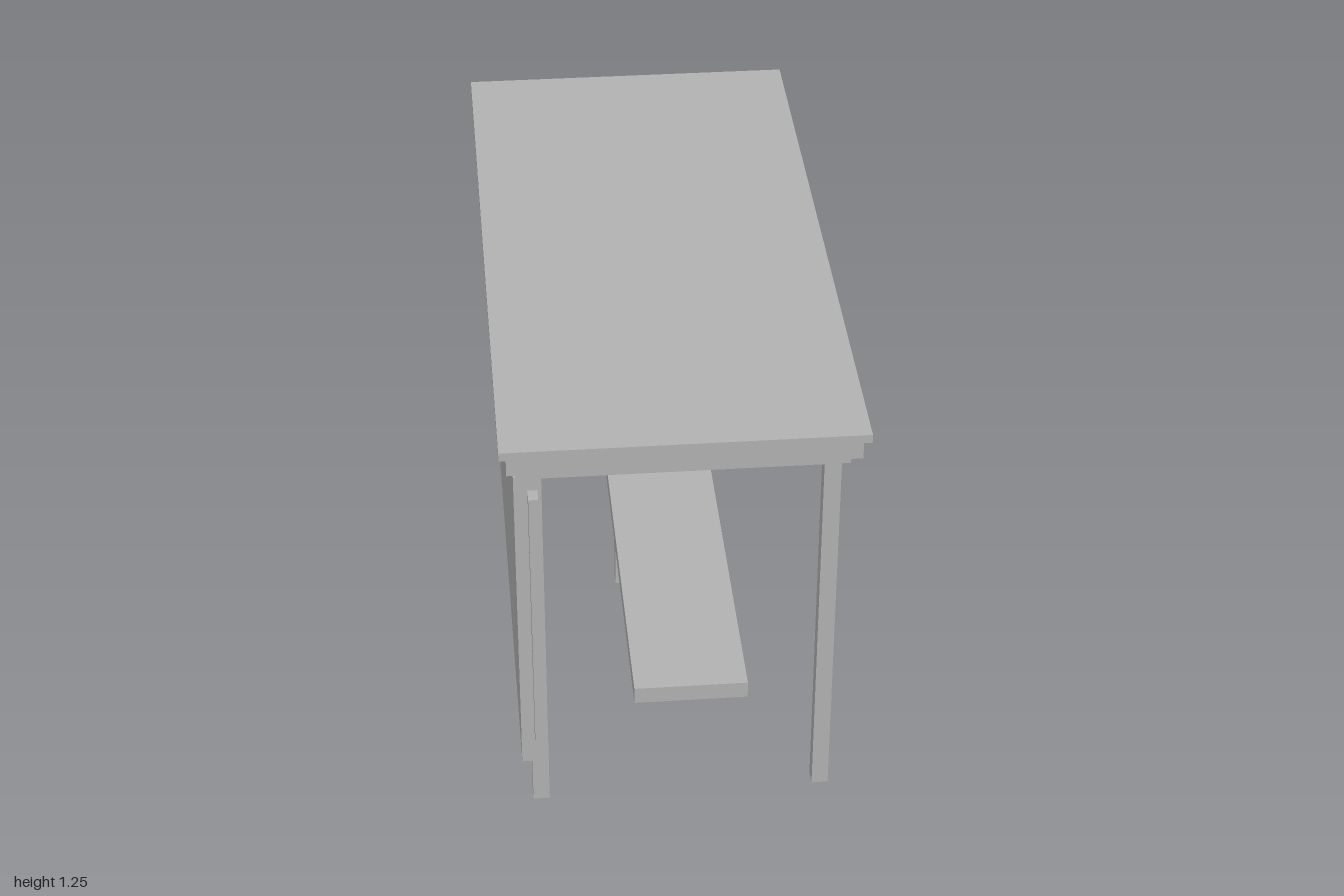
import * as THREE from 'three';

export function createModel() {
  const model = new THREE.Group();
  model.name = 'shelter';
  const grey = new THREE.MeshStandardMaterial({ color: 0xb2b2b2, side: THREE.DoubleSide });
  grey.name = 'grey';

  // Box given by its min and max on each axis; openBottom drops the lower face
  function box(name, [x0, x1], [y0, y1], [z0, z1], openBottom = false) {
    const geo = new THREE.BoxGeometry(x1 - x0, y1 - y0, z1 - z0);
    if (openBottom) {
      const idx = Array.from(geo.index.array);
      idx.splice(18, 6);
      geo.setIndex(idx);
      geo.clearGroups();
    }
    geo.translate((x0 + x1) / 2, (y0 + y1) / 2, (z0 + z1) / 2);
    const mesh = new THREE.Mesh(geo, grey);
    mesh.name = name;
    model.add(mesh);
  }

  // Roof: overhanging cover, fascia slab and thin ceiling plate
  box('roofCover', [-0.485, 0.485], [1.225, 1.25], [-1, 1]);
  box('roofFascia', [-0.466, 0.466], [1.164, 1.225], [-0.982, 0.982]);
  box('ceilingPlate', [-0.442, 0.442], [1.117, 1.133], [-0.935, 0.935]);

  // Four hollow posts, with a board through each of the two wall-side posts
  for (const s of [-1, 1]) {
    const end = [Math.min(s * 0.89, s * 0.935), Math.max(s * 0.89, s * 0.935)];
    box('wallPost', [-0.42, -0.374], [0, 1.164], end, true);
    box('openSidePost', [0.372, 0.418], [0, 1.164], end, true);
    const board = [Math.min(s * 0.848, s * 0.978), Math.max(s * 0.848, s * 0.978)];
    box('sideBoard', [-0.411, -0.385], [0.238, 1.08], board);
  }

  // Long wall panel and its upper rail
  box('wallPanel', [-0.448, -0.42], [0.142, 1.125], [-0.935, 0.935]);
  box('wallRail', [-0.42, -0.395], [1.065, 1.096], [-0.89, 0.89]);

  // Bench: hollow seat on a single hollow support
  box('benchSeat', [-0.118, 0.207], [0.173, 0.225], [-0.748, 0.748], true);
  box('benchSupport', [-0.118, 0.207], [0.041, 0.224], [-0.025, 0.025], true);

  return model;
}
